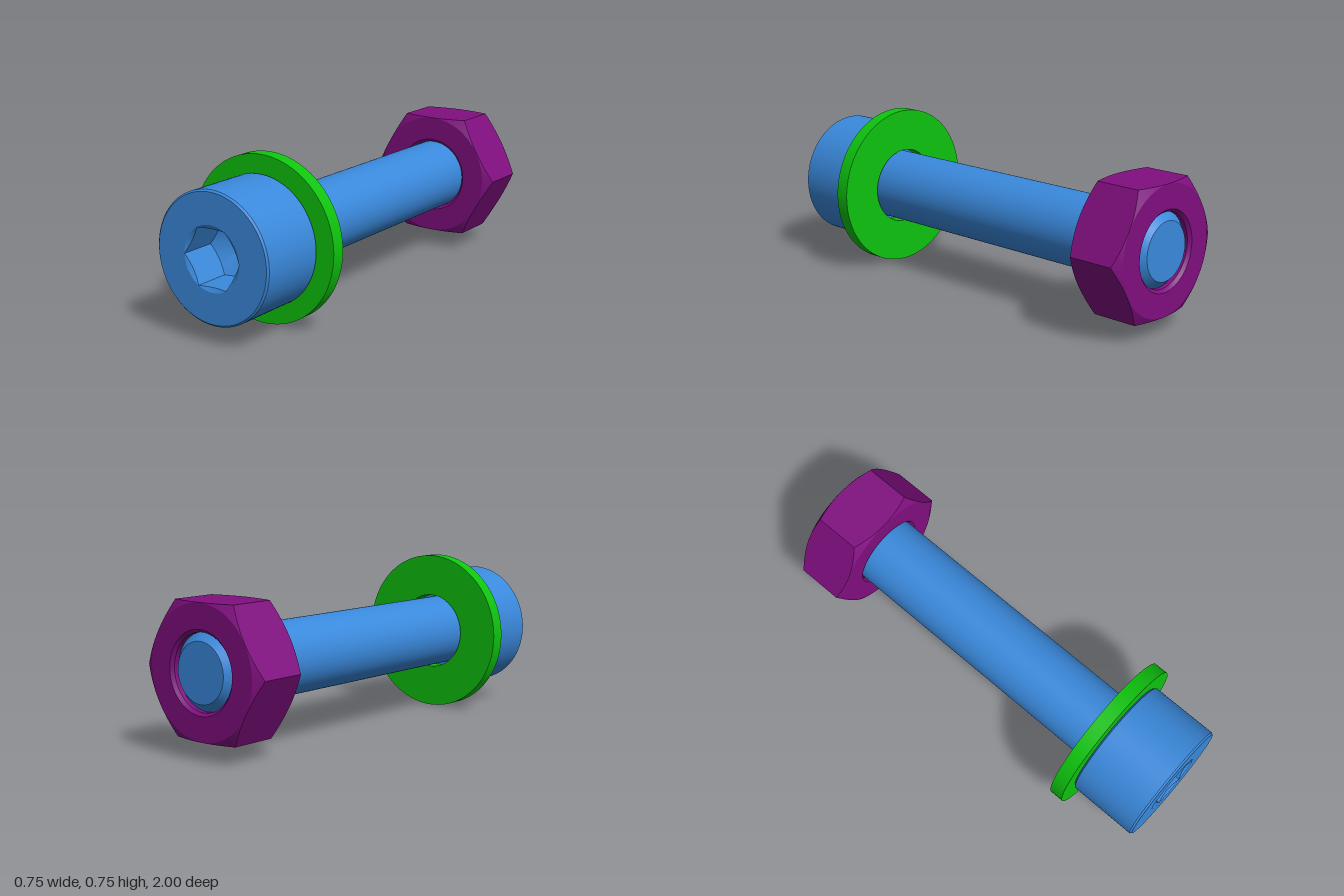
import * as THREE from 'three';
import { toCreasedNormals } from 'three/addons/utils/BufferGeometryUtils.js';

const SIDES = 96;
const SLOPE = Math.tan(Math.PI / 6);

// Radius of a hexagon with flats at top and bottom, at angle a
function hexRadius(apothem, a) {
  const sector = Math.PI / 3;
  const t = ((a % sector) + sector) % sector;
  return apothem / Math.cos(t - sector / 2);
}

// Skin a list of rings around the z axis; each ring is [r, z] or a function of the angle
function loft(rings) {
  const point = (ring, i) => {
    const a = ((i % SIDES) / SIDES) * Math.PI * 2;
    const [r, z] = typeof ring === 'function' ? ring(a) : ring;
    return new THREE.Vector3(r * Math.cos(a), r * Math.sin(a), z);
  };
  const pos = [];
  const tri = (a, b, c) => {
    const area = b.clone().sub(a).cross(c.clone().sub(a)).length();
    if (area > 1e-9) for (const p of [a, b, c]) pos.push(p.x, p.y, p.z);
  };
  for (let j = 0; j < rings.length - 1; j++) {
    for (let i = 0; i < SIDES; i++) {
      const a = point(rings[j], i), b = point(rings[j], i + 1);
      const c = point(rings[j + 1], i + 1), d = point(rings[j + 1], i);
      tri(a, b, c);
      tri(a, c, d);
    }
  }
  const geo = new THREE.BufferGeometry();
  geo.setAttribute('position', new THREE.Float32BufferAttribute(pos, 3));
  return toCreasedNormals(geo, 0.4);
}

function material(name, color) {
  const m = new THREE.MeshStandardMaterial({ color });
  m.name = name;
  return m;
}

export function createModel() {
  const group = new THREE.Group();
  group.name = 'boltAssembly';
  const add = (name, rings, mat) => {
    const mesh = new THREE.Mesh(loft(rings), mat);
    mesh.name = name;
    mesh.position.y = 0.375;
    group.add(mesh);
  };

  // Bolt: chamfered tip, shank, cylindrical head and hexagonal socket
  const headR = 0.2917, shankR = 0.1667, socketFlat = 0.125, socketR = 0.1443, bevel = 0.0083;
  const socketWall = (z) => (a) => {
    const r = hexRadius(socketFlat, a);
    return [r, z - (socketR - r) * SLOPE];
  };
  add('bolt', [
    [0, -1], [0.132, -1], [shankR, -0.965], [shankR, 0.6667],
    [headR - bevel, 0.6667], [headR, 0.6667 + bevel],
    [headR, 1 - bevel], [headR - bevel, 1],
    [socketR, 1],
    socketWall(1), socketWall(0.833),
    [0.013, 0.833 - (socketR - 0.013) * SLOPE],
    [0, 0.833 - (socketR - 0.013) * SLOPE],
  ], material('blue', 0x3a89dc));

  // Washer under the head
  const bore = 0.179;
  add('washer', [
    [bore, 0.6], [0.375, 0.6], [0.375, 0.6665], [bore, 0.6665], [bore, 0.6],
  ], material('green', 0x0ec40e));

  // Nut: hexagon with conically chamfered corners and a countersunk bore
  const nutFlat = 0.2917, back = -1, front = -0.7333, hole = 0.1675, sink = 0.181;
  const nutEdge = (z, dir) => (a) => {
    const r = hexRadius(nutFlat, a);
    return [r, z + dir * (r - nutFlat + 0.001) * SLOPE];
  };
  add('nut', [
    [hole, back + 0.014], [sink, back], [nutFlat - 0.001, back],
    nutEdge(back, 1), nutEdge(front, -1),
    [nutFlat - 0.001, front], [sink, front], [hole, front - 0.014],
    [hole, back + 0.014],
  ], material('purple', 0x800f80));

  return group;
}
